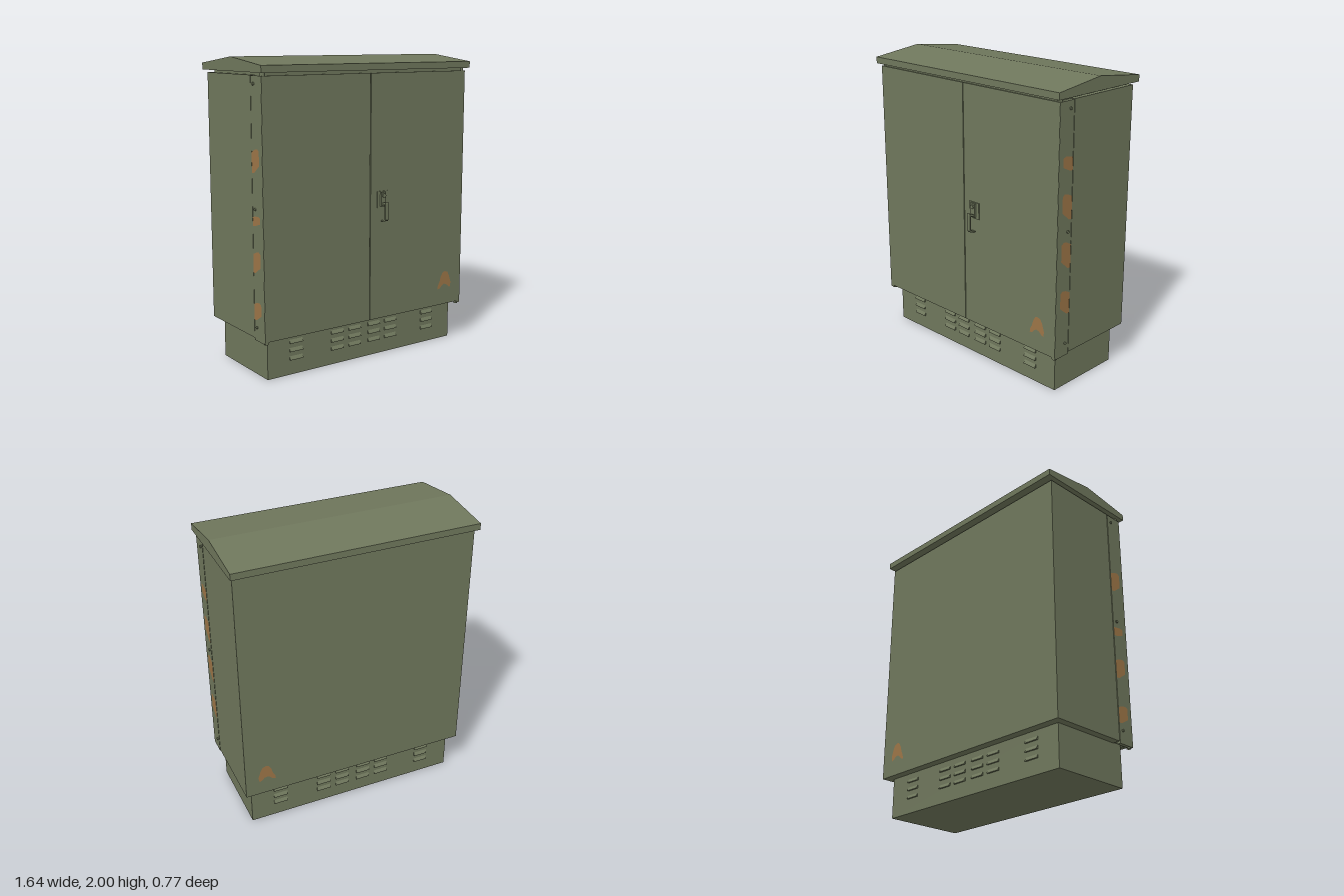
import * as THREE from 'three';

export function createModel() {
  const model = new THREE.Group();
  model.name = 'cabinet';
  const green = new THREE.MeshStandardMaterial({ color: 0x6f775c });
  green.name = 'olive green paint';
  const rust = new THREE.MeshStandardMaterial({ color: 0x9c7547 });
  rust.name = 'rust patch';

  const add = (name, geo, mat = green, parent = model) => {
    const mesh = new THREE.Mesh(geo, mat);
    mesh.name = name;
    parent.add(mesh);
    return mesh;
  };
  // Box from its minimum and maximum on each axis
  const box = (name, [x0, x1], [y0, y1], [z0, z1], parent = model) => {
    const m = add(name, new THREE.BoxGeometry(x1 - x0, y1 - y0, z1 - z0), green, parent);
    m.position.set((x0 + x1) / 2, (y0 + y1) / 2, (z0 + z1) / 2);
    return m;
  };
  const shapeOf = pts => new THREE.Shape(pts.map(p => new THREE.Vector2(...p)));
  // Profile given as [z, y], extruded along x and centred on x = 0
  const alongX = (pts, width) => {
    const g = new THREE.ExtrudeGeometry(shapeOf(pts.map(([z, y]) => [-z, y])), { depth: width, bevelEnabled: false });
    return g.translate(0, 0, -width / 2).rotateY(Math.PI / 2);
  };

  // Main volumes
  box('plinth', [-0.75, 0.75], [0, 0.275], [-0.29, 0.27]);
  box('body', [-0.8, 0.8], [0.27, 1.895], [-0.347, 0.203]);
  box('neck', [-0.77, 0.77], [1.89, 1.912], [-0.31, 0.32]);
  box('doorFrame', [-0.79, 0.79], [0.275, 1.89], [0.2, 0.315]);
  add('roof', alongX([[-0.383, 1.912], [0.36, 1.912], [0.36, 1.955], [-0.005, 2], [-0.383, 1.955]], 1.636));

  // Two doors with returned side flanges, hinge bolts and pivots
  for (const s of [-1, 1]) {
    const door = new THREE.Group();
    door.name = s > 0 ? 'leftDoor' : 'rightDoor';
    model.add(door);
    const span = (a, b) => (s > 0 ? [a, b] : [-b, -a]);
    box('doorPanel', span(0.003, 0.8), [0.27, 1.893], [0.31, 0.332], door);
    box('doorFlange', span(0.775, 0.801), [0.258, 1.893], [0.208, 0.33], door);
    for (const y of [0.345, 1.09, 1.845]) {
      const bolt = add('hingeBolt', new THREE.CylinderGeometry(0.009, 0.009, 0.012, 12), green, door);
      bolt.rotation.z = Math.PI / 2;
      bolt.position.set(s * 0.803, y, 0.24);
    }
    for (const y of [0.261, 1.9]) {
      const pivot = add('hingePivot', new THREE.CylinderGeometry(0.014, 0.014, 0.02, 12), green, door);
      pivot.position.set(s * 0.782, y, 0.312);
    }
  }

  // Vent louvres on both faces of the plinth
  const louvre = alongX([[0, -0.012], [0.012, -0.012], [0.011, -0.006], [0, 0.012]], 0.098);
  for (const [face, z, turn] of [['front', 0.27, 0], ['back', -0.29, Math.PI]]) {
    const vents = new THREE.Group();
    vents.name = face + 'Vents';
    vents.position.z = z;
    vents.rotation.y = turn;
    model.add(vents);
    for (const x of [-0.54, -0.22, -0.08, 0.08, 0.22, 0.54])
      for (const y of [0.11, 0.165, 0.22])
        add('louvre', louvre, green, vents).position.set(x, y, 0);
  }

  // Door handle: plate, housing, lever and lock
  const handle = new THREE.Group();
  handle.name = 'handle';
  model.add(handle);
  box('handlePlate', [0.053, 0.14], [1.02, 1.13], [0.33, 0.338], handle);
  box('handleHousing', [0.076, 0.114], [1.03, 1.125], [0.336, 0.35], handle);
  const lever = add('lever', alongX([
    [0.346, 1.05], [0.384, 1.064], [0.386, 1.05], [0.386, 0.945], [0.378, 0.936],
    [0.338, 0.928], [0.338, 0.936], [0.372, 0.945], [0.378, 0.952], [0.378, 1.048], [0.346, 1.036],
  ].reverse(), 0.026), green, handle);
  lever.position.x = 0.095;
  const lock = add('lock', new THREE.CylinderGeometry(0.014, 0.014, 0.016, 16), green, handle);
  lock.rotation.x = Math.PI / 2;
  lock.position.set(0.095, 1.103, 0.352);

  // Arched rust patch low on the front and back
  const arch = new THREE.ShapeGeometry(shapeOf([
    [0.59, 0.383], [0.612, 0.388], [0.63, 0.408], [0.645, 0.417], [0.668, 0.412], [0.69, 0.392],
    [0.705, 0.387], [0.711, 0.42], [0.695, 0.47], [0.68, 0.498], [0.655, 0.507], [0.635, 0.5],
    [0.618, 0.47], [0.608, 0.435], [0.594, 0.41],
  ]));
  add('frontRustPatch', arch, rust).position.z = 0.334;
  // Turned to face backwards, keeping the same side of the cabinet
  const back = arch.clone().scale(-1, 1, 1).rotateY(Math.PI);
  const idx = back.index.array;
  for (let i = 0; i < idx.length; i += 3) [idx[i], idx[i + 1]] = [idx[i + 1], idx[i]];
  back.computeVertexNormals();
  const backPatch = add('backRustPatch', back, rust);
  backPatch.position.set(0, -0.015, -0.349);

  // Rust patches down the door flanges: [bottom, top] on each side
  const patches = {
    1: [[1.47, 1.565], [1.165, 1.335], [0.85, 1.03], [0.545, 0.71]],
    '-1': [[1.31, 1.46], [0.985, 1.05], [0.69, 0.83], [0.39, 0.51]],
  };
  for (const s of [-1, 1]) {
    for (const [y0, y1] of patches[s]) {
      const h = y1 - y0;
      const outline = [
        [0.209, y0], [0.235, y0 + 0.02 * h], [0.27, y0 + 0.2 * h], [0.294, y0 + 0.32 * h],
        [0.294, y1 - 0.08 * h], [0.275, y1], [0.245, y1 - 0.04 * h], [0.209, y1 - 0.15 * h],
      ];
      const g = new THREE.ShapeGeometry(shapeOf(outline.map(([z, y]) => [-s * z, y])));
      const patch = add('sideRustPatch', g, rust);
      patch.rotation.y = s * Math.PI / 2;
      patch.position.x = s * 0.803;
    }
  }
  return model;
}
